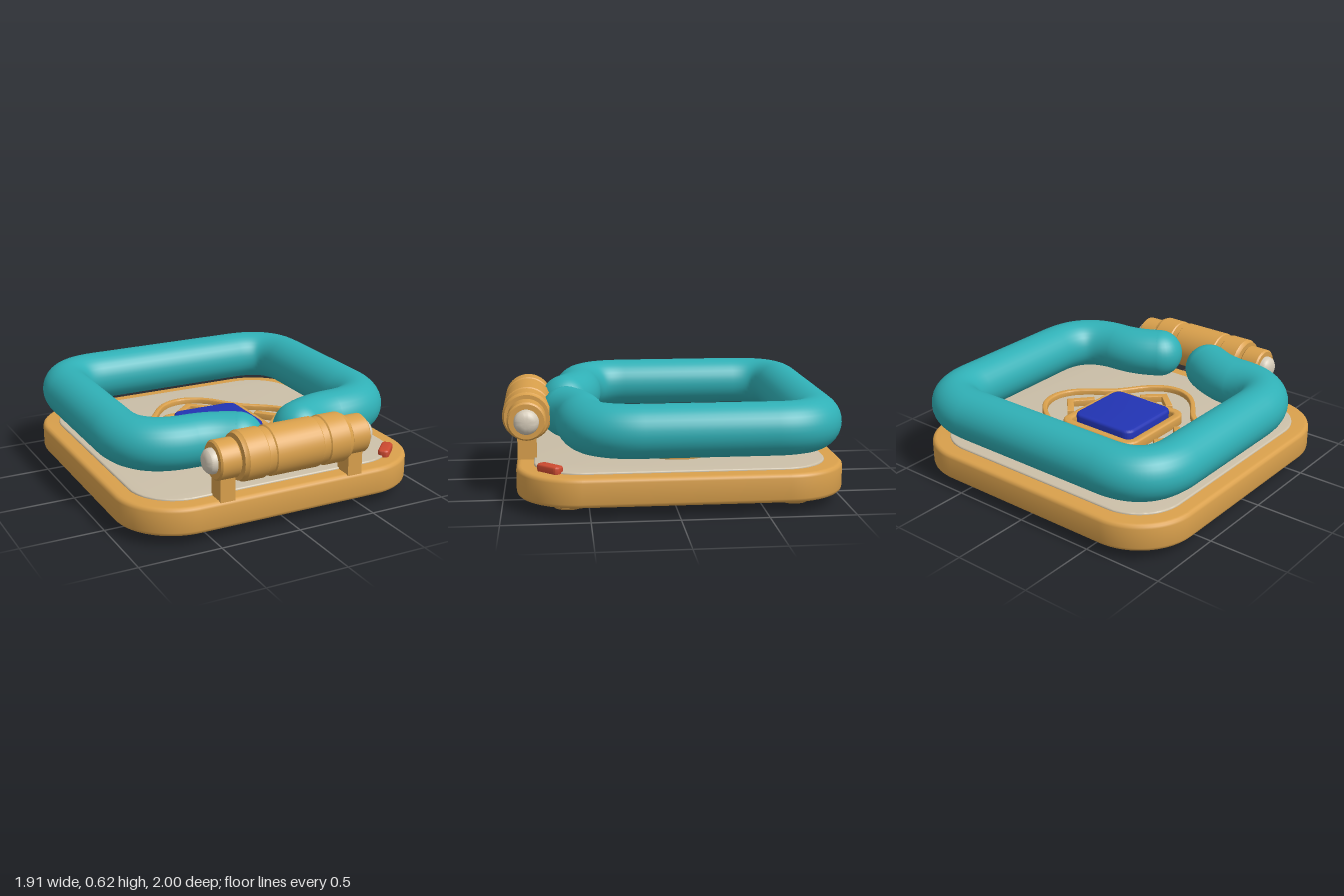
import * as THREE from 'three';
import { toCreasedNormals } from 'three/addons/utils/BufferGeometryUtils.js';

const mat = (name, color) => {
  const m = new THREE.MeshStandardMaterial({ color });
  m.name = name;
  return m;
};

// Rounded rectangle outline centred on the origin
function roundRect(w, d, r, Type = THREE.Shape) {
  const s = new Type(), x = w / 2, y = d / 2;
  s.moveTo(-x + r, -y);
  s.lineTo(x - r, -y).absarc(x - r, -y + r, r, -Math.PI / 2, 0, false);
  s.lineTo(x, y - r).absarc(x - r, y - r, r, 0, Math.PI / 2, false);
  s.lineTo(-x + r, y).absarc(-x + r, y - r, r, Math.PI / 2, Math.PI, false);
  s.lineTo(-x, -y + r).absarc(-x + r, -y + r, r, Math.PI, Math.PI * 1.5, false);
  return s;
}

// Four-lobed diamond outline; radius swells towards the four tips
function lobes(inset) {
  const pts = [];
  for (let i = 0; i < 96; i++) {
    const a = (i / 96) * Math.PI * 2, r = 0.54 + 0.067 * Math.cos(4 * a) - inset;
    pts.push(new THREE.Vector2(Math.cos(a) * r, Math.sin(a) * r));
  }
  return pts;
}

// Horizontal slab from y0 to y1 with bevelled edges
function slab(shape, y0, y1, bevel) {
  const g = new THREE.ExtrudeGeometry(shape, {
    depth: y1 - y0 - 2 * bevel, bevelEnabled: true, bevelThickness: bevel,
    bevelSize: bevel, bevelOffset: -bevel, bevelSegments: 3, curveSegments: 14,
  });
  g.rotateX(-Math.PI / 2).translate(0, y0 + bevel, 0);
  return toCreasedNormals(g, 0.6);
}

// Solid turned around the x axis from [x, radius] pairs
function turned(profile) {
  const g = new THREE.LatheGeometry(profile.map(([x, r]) => new THREE.Vector2(r, x)), 40);
  g.rotateZ(-Math.PI / 2);
  return toCreasedNormals(g, 0.5);
}

export function createModel() {
  const gold = mat('gold', 0xd9a04c);
  const teal = mat('teal', 0x30b0b6);
  const cream = mat('cream', 0xcbbfa8);
  const blue = mat('blue', 0x2234b4);
  const red = mat('red', 0xcc4a30);
  const pearl = mat('pearl', 0xd6ccba);

  const model = new THREE.Group();
  const add = (name, geo, material, parent = model, x = 0, y = 0, z = 0) => {
    const m = new THREE.Mesh(geo, material);
    m.name = name;
    m.position.set(x, y, z);
    parent.add(m);
    return m;
  };

  // Base, inlaid panel and feet, centred slightly behind the origin
  const base = new THREE.Group();
  base.name = 'base';
  base.position.z = -0.042;
  model.add(base);
  add('baseBody', slab(roundRect(1.91, 1.915, 0.37), 0.065, 0.235, 0.025), gold, base);
  add('topPanel', slab(roundRect(1.71, 1.71, 0.29), 0.2, 0.246, 0.008), cream, base);
  const footGeo = toCreasedNormals(new THREE.LatheGeometry(
    [[0, 0], [0.085, 0], [0.1, 0.015], [0.1, 0.075], [0, 0.075]].map(p => new THREE.Vector2(...p)), 32), 0.5);
  for (const x of [-0.66, 0.66])
    for (const z of [-0.66, 0.66]) add('foot', footGeo, gold, base, x, 0, z);

  // Raised diamond border
  const border = new THREE.Shape(lobes(0));
  border.holes.push(new THREE.Path(lobes(0.036)));
  add('diamondBorder', slab(border, 0.235, 0.281, 0.008), gold, base);

  // Square frame and centre button
  const frame = roundRect(0.58, 0.58, 0.08);
  frame.holes.push(roundRect(0.475, 0.475, 0.035, THREE.Path));
  add('buttonFrame', slab(frame, 0.235, 0.308, 0.012), gold, base);
  add('centreButton', slab(roundRect(0.45, 0.45, 0.06), 0.24, 0.345, 0.018), blue, base);

  // Four direction chevrons
  const chevron = new THREE.Shape([[0, 0.47], [-0.135, 0.35], [-0.105, 0.318], [0, 0.413], [0.105, 0.318], [0.135, 0.35]]
    .map(p => new THREE.Vector2(...p)));
  const chevronGeo = slab(chevron, 0.235, 0.288, 0.004);
  for (let i = 0; i < 4; i++) add('chevron', chevronGeo, gold, base).rotation.y = i * Math.PI / 2;

  // Side switch on the front left corner
  const sw = add('sideSwitch', slab(roundRect(0.165, 0.068, 0.025), 0.22, 0.277, 0.012), red, model, 0.765, 0, 0.72);
  sw.rotation.y = Math.PI / 4;

  // Padded loop: straight runs joined by rounded corners, open at the front
  const R = 0.155, Y = 0.465;
  const half = [[0.205, 0.615, 0], [0.36, 0.53, 0.13], [0.8, 0.53, 0.33], [0.8, -0.845, 0.29]];
  const path = [...half, ...half.slice().reverse().map(([x, z, s]) => [-x, z, s])];
  const V = ([x, z]) => new THREE.Vector3(x, Y, z);
  const loop = new THREE.CurvePath();
  let last = V(path[0]);
  for (let i = 1; i < path.length; i++) {
    const p = V(path[i]), s = path[i][2];
    const into = p.clone().add(V(path[i - 1]).sub(p).setLength(s));
    loop.add(new THREE.LineCurve3(last, into));
    if (i < path.length - 1) {
      const out = p.clone().add(V(path[i + 1]).sub(p).setLength(s));
      loop.add(new THREE.QuadraticBezierCurve3(into, p, out));
      last = out;
    }
  }
  add('paddedLoop', new THREE.TubeGeometry(loop, 260, R, 32, false), teal);
  for (const x of [-0.205, 0.205])
    add('loopEnd', new THREE.SphereGeometry(R, 32, 20), teal, model, x, Y, 0.615);

  // Hinge barrel with grooves, brackets and end knobs
  const hinge = new THREE.Group();
  hinge.name = 'hinge';
  hinge.position.set(0, Y, 0.853);
  model.add(hinge);
  const side = [[0.148, 0.147], [0.155, 0.14], [0.195, 0.14], [0.202, 0.147], [0.325, 0.147], [0.335, 0.14], [0.35, 0.135], [0.35, 0]];
  add('barrel', turned([...side.map(([x, r]) => [-x, r]).reverse(), ...side]), gold, hinge);
  const collar = turned([[-0.065, 0], [-0.065, 0.105], [-0.055, 0.115], [0.055, 0.115], [0.065, 0.105], [0.065, 0]]);
  const pin = turned([[0.3, 0], [0.3, 0.09], [0.37, 0.09], [0.37, 0]]);
  const knob = turned([[0.46, 0], [0.46, 0.074], [0.5, 0.074], [0.518, 0.068], [0.533, 0.052], [0.54, 0.03], [0.541, 0]]);
  for (const s of [-1, 1]) {
    const turn = s < 0 ? Math.PI : 0;
    add('bracketCollar', collar, gold, hinge, s * 0.42);
    add('hingePin', pin, gold, hinge).rotation.y = turn;
    add('endKnob', knob, pearl, hinge).rotation.y = turn;
    add('bracketLeg', new THREE.BoxGeometry(0.094, 0.25, 0.112), gold, hinge, s * 0.418, -0.12, 0);
  }
  return model;
}
